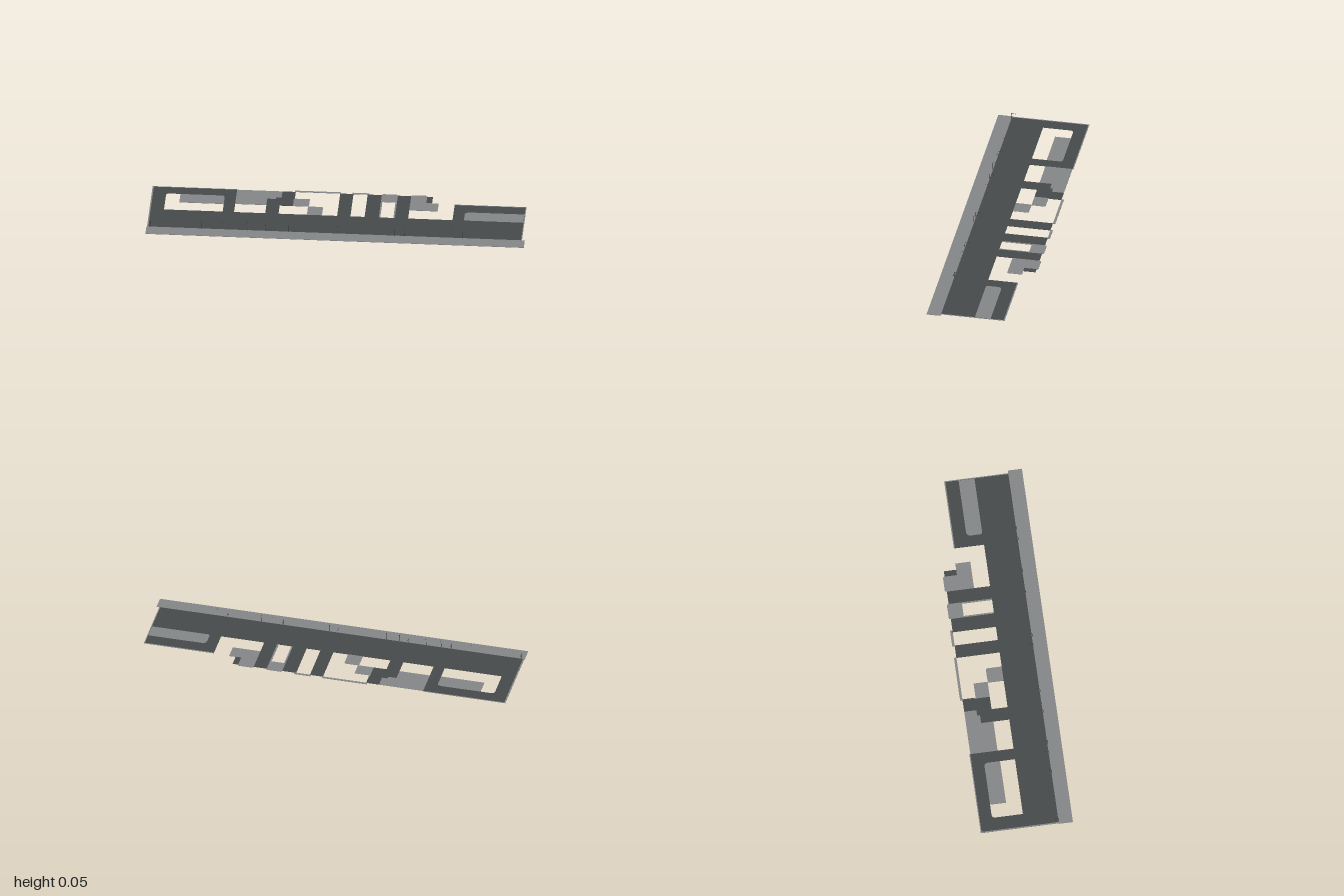
import * as THREE from 'three';

const mat = (name, color) => new THREE.MeshStandardMaterial({ name, color });

export function createModel() {
  const asphalt = mat('asphalt', 0x464a4a);
  const paving = mat('paving', 0x848687);
  const metal = mat('dark metal', 0x3a3c3d);
  const model = new THREE.Group();
  const T = 0.0015;

  // Outline in plan; r rounds the corners [backLeft, backRight, frontRight, frontLeft]
  const outline = (path, x0, z0, x1, z1, [a, b, c, d] = [0, 0, 0, 0]) => {
    path.moveTo(x0 + a, -z0);
    path.lineTo(x1 - b, -z0);
    if (b) path.quadraticCurveTo(x1, -z0, x1, -z0 - b);
    path.lineTo(x1, -z1 + c);
    if (c) path.quadraticCurveTo(x1, -z1, x1 - c, -z1);
    path.lineTo(x0 + d, -z1);
    if (d) path.quadraticCurveTo(x0, -z1, x0, -z1 + d);
    path.lineTo(x0, -z0 - a);
    if (a) path.quadraticCurveTo(x0, -z0, x0 + a, -z0);
    return path;
  };

  // Thin horizontal slab, optionally with a hole
  const slab = (name, material, rect, hole) => {
    const shape = outline(new THREE.Shape(), ...rect);
    if (hole) shape.holes.push(outline(new THREE.Path(), ...hole));
    const geo = new THREE.ExtrudeGeometry(shape, { depth: T, bevelEnabled: false, curveSegments: 6 });
    geo.rotateX(-Math.PI / 2);
    const mesh = new THREE.Mesh(geo, material);
    mesh.name = name;
    model.add(mesh);
  };

  // Main road and the front pavement
  slab('mainRoad', asphalt, [-0.99, -0.01, 0.98, 0.17]);
  slab('frontPavement', paving, [-1, 0.17, 1, 0.245]);

  // Left block: road loop around a yard with a paved corner
  slab('leftLoopRoad', asphalt, [-0.99, -0.24, -0.55, -0.01],
    [-0.92, -0.175, -0.61, -0.0105, [0.02, 0.02, 0, 0]]);
  slab('leftYard', paving, [-0.845, -0.175, -0.61, -0.09, [0, 0.02, 0, 0]]);

  // Right block: road around a paved yard
  const yard = [0.665, -0.095, 0.979, -0.0105, [0.025, 0, 0, 0.012]];
  slab('rightLoopRoad', asphalt, [0.605, -0.165, 0.98, -0.01], yard);
  slab('rightYard', paving, yard);

  // Side roads
  [
    [-0.31, -0.24, -0.24, -0.175],
    [-0.34, -0.175, -0.245, -0.095],
    [-0.385, -0.16, -0.34, -0.095],
    [-0.385, -0.095, -0.315, -0.01],
    [-0.005, -0.24, 0.065, -0.01],
    [0.14, -0.24, 0.215, -0.01],
    [0.3, -0.24, 0.37, -0.01],
    [0.455, -0.24, 0.485, -0.175],
  ].forEach(r => slab('sideRoad', asphalt, r));

  // Paved courts between the side roads
  [
    [-0.55, -0.24, -0.385, -0.095],
    [-0.385, -0.24, -0.31, -0.175],
    [-0.385, -0.175, -0.34, -0.16],
    [-0.245, -0.17, -0.16, -0.095],
    [-0.165, -0.095, -0.085, -0.01, [0.01, 0.01, 0, 0]],
    [0.215, -0.25, 0.3, -0.17, [0.01, 0.01, 0, 0]],
    [0.37, -0.25, 0.455, -0.175, [0.01, 0.01, 0, 0]],
    [0.37, -0.175, 0.52, -0.095],
  ].forEach(r => slab('pavedCourt', paving, r));

  // Narrow kerbs along the open edges
  [
    [-0.245, -0.253, -0.003, -0.24],
    [0.06, -0.253, 0.15, -0.24],
    [0.215, -0.17, 0.223, -0.01],
    [0.292, -0.17, 0.3, -0.01],
    [0.605, -0.171, 0.985, -0.165],
    [0.98, -0.165, 0.985, 0.17],
    [-0.997, -0.245, -0.99, 0.17],
    [-0.99, -0.245, -0.55, -0.24],
  ].forEach(r => slab('kerb', paving, r));

  // Street furniture along the pavement edge
  const Z = 0.172;
  const box = (group, name, w, h, d, x, y, z) => {
    const m = new THREE.Mesh(new THREE.BoxGeometry(w, h, d), metal);
    m.name = name;
    m.position.set(x, y, z);
    group.add(m);
  };
  const post = (group, h) => {
    const m = new THREE.Mesh(new THREE.CylinderGeometry(0.0006, 0.0009, h, 6), metal);
    m.name = 'post';
    m.position.y = h / 2;
    group.add(m);
  };
  const furniture = (name, x) => {
    const g = new THREE.Group();
    g.name = name;
    g.position.set(x, 0, Z);
    model.add(g);
    return g;
  };

  // Street lamps with a curved arm over the road
  const arm = new THREE.TubeGeometry(new THREE.QuadraticBezierCurve3(
    new THREE.Vector3(0, 0.041, 0), new THREE.Vector3(0, 0.047, -0.003),
    new THREE.Vector3(0, 0.046, -0.014)), 6, 0.0005, 5);
  [-0.71, -0.545, -0.465, -0.32, -0.25, 0.06, 0.365, 0.43, 0.67].forEach(x => {
    const g = furniture('streetLamp', x);
    post(g, 0.042);
    const m = new THREE.Mesh(arm, metal);
    m.name = 'lampArm';
    g.add(m);
    box(g, 'lampHead', 0.0025, 0.001, 0.005, 0, 0.0455, -0.013);
  });

  // Signal posts with a straight arm and a hanging signal box
  [-0.98, -0.6, -0.37, 0.01, 0.31, 0.61].forEach(x => {
    const g = furniture('signalPost', x);
    post(g, 0.033);
    box(g, 'signalArm', 0.001, 0.001, 0.024, 0, 0.03, -0.012);
    box(g, 'signalBox', 0.002, 0.006, 0.002, 0, 0.0295, -0.023);
    box(g, 'crossingBox', 0.002, 0.005, 0.002, 0, 0.015, 0.001);
  });

  return model;
}
